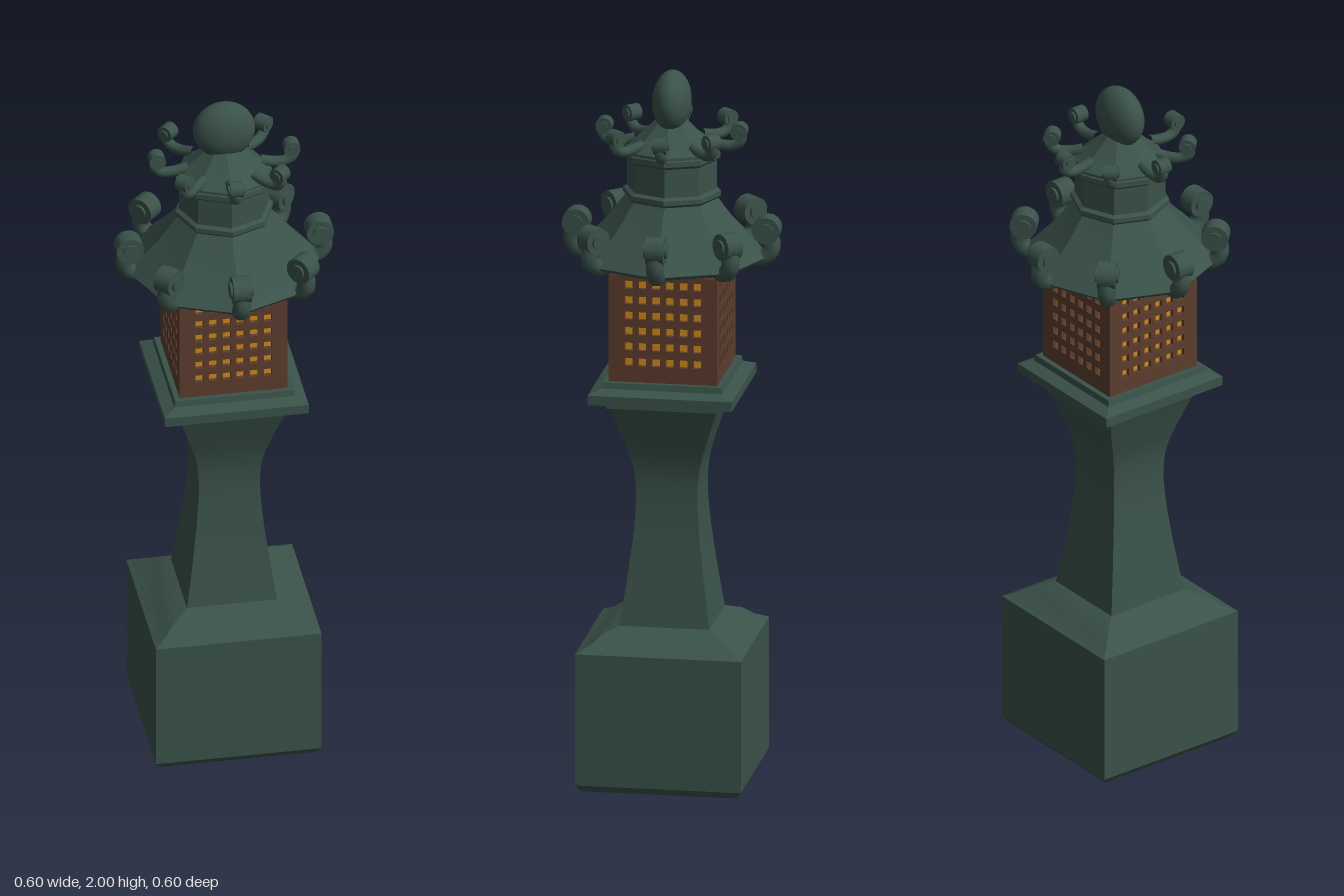
import * as THREE from 'three';
import { toCreasedNormals } from 'three/addons/utils/BufferGeometryUtils.js';

const green = new THREE.MeshStandardMaterial({ color: 0x3a5249 });
const wood = new THREE.MeshStandardMaterial({ color: 0x5c3d2e });
const amber = new THREE.MeshStandardMaterial({ color: 0xd08a1a });

function add(parent, name, geometry, material = green) {
  const mesh = new THREE.Mesh(geometry, material);
  mesh.name = name;
  parent.add(mesh);
  return mesh;
}

// Loft of a regular polygon along [radius, y] pairs, closed at both ends.
// For squares the radius is the half width.
function prism(sides, profile) {
  const k = sides === 4 ? Math.SQRT2 : 1;
  const pts = profile.map(([r, y]) => new THREE.Vector2(r * k, y));
  pts.unshift(new THREE.Vector2(0, pts[0].y));
  pts.push(new THREE.Vector2(0, pts[pts.length - 1].y));
  return toCreasedNormals(new THREE.LatheGeometry(pts, sides, sides === 4 ? Math.PI / 4 : 0), 0.35);
}

// Curled bracket lying in the x-y plane, ending in a drum-shaped scroll.
function scroll(path, thickness, drumAt, drumRadius, drumWidth) {
  const group = new THREE.Group();
  const curve = new THREE.CatmullRomCurve3(path.map(([x, y]) => new THREE.Vector3(x, y, 0)));
  add(group, 'scrollArm', new THREE.TubeGeometry(curve, 12, thickness, 10));
  const drums = [['scrollDrum', drumRadius, drumWidth], ['scrollEye', drumRadius * 0.55, drumWidth * 1.28]];
  for (const [name, r, w] of drums) {
    const drum = add(group, name, new THREE.CylinderGeometry(r, r, w, 18));
    drum.rotation.x = Math.PI / 2;
    drum.position.set(drumAt[0], drumAt[1], 0);
  }
  return group;
}

function ringOfScrolls(parent, name, ...spec) {
  for (let i = 0; i < 8; i++) {
    const s = scroll(...spec);
    s.name = name;
    s.rotation.y = (i * Math.PI) / 4;
    parent.add(s);
  }
}

// Wooden lattice panel with a grid of square openings.
function latticePanel(halfWidth, bottom, top, depth) {
  const shape = new THREE.Shape([
    new THREE.Vector2(-halfWidth, bottom), new THREE.Vector2(halfWidth, bottom),
    new THREE.Vector2(halfWidth, top), new THREE.Vector2(-halfWidth, top),
  ]);
  const h = 0.011;
  for (let i = 0; i < 6; i++) {
    for (let j = 0; j < 6; j++) {
      const x = (i - 2.5) * 0.038, y = 1.319 + (j - 2.5) * 0.044;
      shape.holes.push(new THREE.Path([
        new THREE.Vector2(x - h, y - h), new THREE.Vector2(x - h, y + h),
        new THREE.Vector2(x + h, y + h), new THREE.Vector2(x + h, y - h),
      ]));
    }
  }
  return new THREE.ExtrudeGeometry(shape, { depth, bevelEnabled: false });
}

export function createModel() {
  const model = new THREE.Group();
  model.name = 'stoneLantern';

  // Pedestal block and flared square column
  add(model, 'base', prism(4, [[0.215, 0], [0.23, 0.02], [0.23, 0.393], [0.195, 0.41], [0.165, 0.435], [0.125, 0.45]]));
  const waist = new THREE.SplineCurve([
    [0.125, 0.45], [0.105, 0.59], [0.09, 0.72], [0.085, 0.82], [0.093, 0.9], [0.118, 0.985], [0.15, 1.08],
  ].map(([r, y]) => new THREE.Vector2(r, y)));
  add(model, 'column', prism(4, waist.getPoints(28).map((p) => [p.x, p.y])));

  // Stepped platform
  add(model, 'platform', prism(4, [[0.157, 1.075], [0.157, 1.093], [0.2, 1.095], [0.2, 1.122], [0.168, 1.135], [0.165, 1.152]]));

  // Lantern chamber: four lattice walls around a glowing core
  const chamber = new THREE.Group();
  chamber.name = 'lanternChamber';
  model.add(chamber);
  const depth = 0.012;
  for (let i = 0; i < 4; i++) {
    const panel = add(chamber, 'latticePanel', latticePanel(0.15, 1.15, 1.455, depth), wood);
    panel.rotation.y = (i * Math.PI) / 2;
    panel.position.set(0, 0, 0.15 - depth).applyAxisAngle(new THREE.Vector3(0, 1, 0), panel.rotation.y);
  }
  add(chamber, 'chamberTop', prism(4, [[0.15, 1.455], [0.122, 1.485]]), wood);
  const core = add(chamber, 'glowCore', new THREE.BoxGeometry(0.274, 0.3, 0.274), amber);
  core.position.y = 1.303;

  // Lower octagonal roof, drum with trims, and upper roof
  add(model, 'lowerRoof', prism(8, [[0.262, 1.475], [0.27, 1.485], [0.182, 1.575], [0.125, 1.65]]));
  add(model, 'lowerTrim', prism(8, [[0.13, 1.645], [0.136, 1.652], [0.136, 1.665], [0.125, 1.672]]));
  add(model, 'drum', prism(8, [[0.125, 1.65], [0.125, 1.78]]));
  add(model, 'upperTrim', prism(8, [[0.125, 1.752], [0.134, 1.76], [0.134, 1.775], [0.125, 1.78]]));
  add(model, 'upperRoof', prism(8, [[0.13, 1.772], [0.13, 1.785], [0.085, 1.82], [0.04, 1.865]]));

  // Curled brackets at the roof corners
  ringOfScrolls(model, 'lowerScroll',
    [[0.19, 1.49], [0.225, 1.481], [0.258, 1.485], [0.276, 1.508], [0.272, 1.545]],
    0.025, [0.264, 1.562], 0.038, 0.05);
  ringOfScrolls(model, 'upperScroll',
    [[0.1, 1.805], [0.14, 1.796], [0.172, 1.797], [0.192, 1.812], [0.192, 1.833]],
    0.015, [0.187, 1.838], 0.023, 0.036);

  // Flattened ball on top
  const finial = add(model, 'finial', new THREE.SphereGeometry(1, 32, 24));
  finial.scale.set(0.086, 0.085, 0.053);
  finial.position.y = 1.915;

  return model;
}
